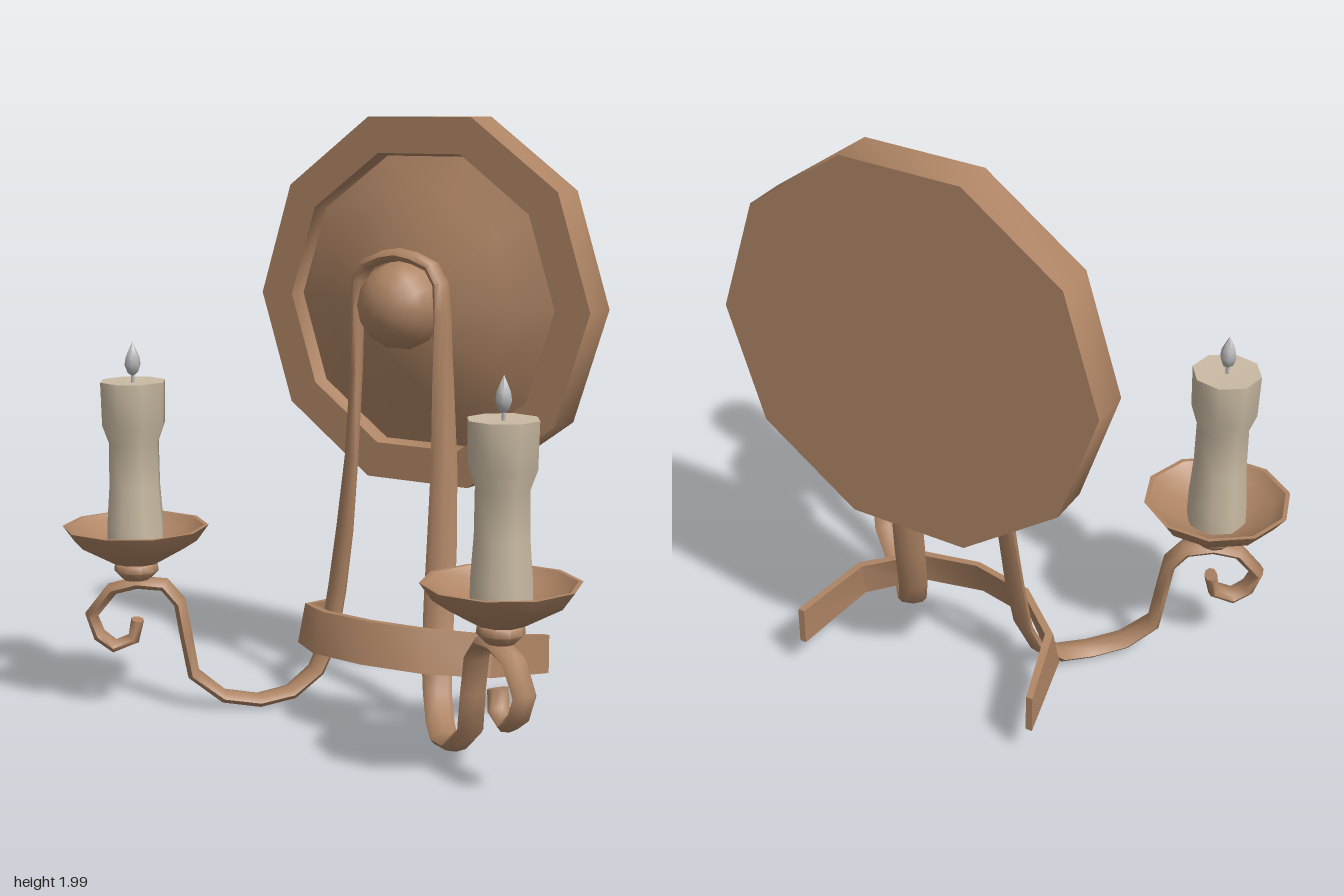
import * as THREE from 'three';
import { toCreasedNormals } from 'three/addons/utils/BufferGeometryUtils.js';

const copper = new THREE.MeshStandardMaterial({ color: 0xae8464 });
copper.name = 'copper';
const wax = new THREE.MeshStandardMaterial({ color: 0xc9baa3 });
wax.name = 'wax';
const glass = new THREE.MeshStandardMaterial({ color: 0xb8b8ba });
glass.name = 'greyFlame';

function part(name, geometry, material) {
  const mesh = new THREE.Mesh(geometry, material);
  mesh.name = name;
  return mesh;
}

// Turned part from [radius, height] pairs, listed from bottom to top on the outside
function turned(profile, sides, crease = 0.75, start = Math.PI / 2) {
  const points = profile.map(([r, y]) => new THREE.Vector2(r, y));
  return toCreasedNormals(new THREE.LatheGeometry(points, sides, start), crease);
}

// Skin over rings of points, each ring counter-clockwise about the direction of travel
function loft(rings, crease) {
  const n = rings[0].length;
  const last = (rings.length - 1) * n;
  const index = [];
  for (let i = 0; i < rings.length - 1; i++) {
    for (let j = 0; j < n; j++) {
      const a = i * n + j, b = i * n + (j + 1) % n;
      index.push(a, b, b + n, a, b + n, a + n);
    }
  }
  for (let j = 1; j < n - 1; j++) {
    index.push(0, j + 1, j, last, last + j, last + j + 1);
  }
  const geo = new THREE.BufferGeometry().setFromPoints(rings.flat());
  geo.setIndex(index);
  return toCreasedNormals(geo, crease);
}

// Half of the bent rod: x, y, z, plan angle of its flat section, half width
const ROD = [
  [0.0, 1.55, -0.263, 0, 0.037],
  [0.06, 1.54, -0.263, 0, 0.037],
  [0.125, 1.515, -0.263, 0, 0.037],
  [0.16, 1.46, -0.263, 0.05, 0.037],
  [0.168, 1.36, -0.264, 0.2, 0.038],
  [0.172, 1.15, -0.264, 0.5, 0.041],
  [0.185, 0.85, -0.253, 0.85, 0.045],
  [0.195, 0.6, -0.226, 1.05, 0.05],
  [0.205, 0.4, -0.195, 1.1, 0.052],
  [0.218, 0.22, -0.16, 1.1, 0.05],
  [0.245, 0.12, -0.122, 1.05, 0.048],
  [0.3, 0.05, -0.05, 0.95, 0.047],
  [0.37, 0.032, 0.04, 0.85, 0.046],
  [0.46, 0.052, 0.12, 0.75, 0.046],
  [0.545, 0.13, 0.175, 0.6, 0.045],
  [0.562, 0.26, 0.19, 0.55, 0.045],
  [0.58, 0.38, 0.2, 0.55, 0.045],
  [0.625, 0.44, 0.225, 0.55, 0.044],
  [0.7, 0.448, 0.275, 0.55, 0.042],
  [0.775, 0.425, 0.32, 0.55, 0.042],
  [0.835, 0.335, 0.36, 0.55, 0.04],
  [0.81, 0.265, 0.35, 0.55, 0.04],
  [0.765, 0.228, 0.325, 0.55, 0.04],
  [0.71, 0.255, 0.29, 0.55, 0.038],
  [0.7, 0.32, 0.28, 0.55, 0.036],
];

function bentRod() {
  const mirrored = ROD.slice(1).reverse().map(([x, y, z, t, w]) => [-x, y, z, -t, w]);
  const path = [...mirrored, ...ROD];
  const at = (i) => new THREE.Vector3(...path[Math.max(0, Math.min(path.length - 1, i))].slice(0, 3));
  const rings = path.map(([, , , theta, w], i) => {
    const along = at(i + 1).sub(at(i - 1)).normalize();
    const wide = new THREE.Vector3(-Math.sin(theta), 0, Math.cos(theta));
    const thin = wide.clone().cross(along).normalize();
    return Array.from({ length: 8 }, (_, j) => {
      const a = (j / 8) * Math.PI * 2;
      return at(i).addScaledVector(thin, 0.022 * Math.cos(a)).addScaledVector(wide, w * Math.sin(a));
    });
  });
  return loft(rings, 1.2);
}

// Tilted brace strap: lower edge x, z and upper edge x, z for one half
const STRAP = [
  [0, -0.03, 0, -0.075],
  [0.22, -0.07, 0.21, -0.112],
  [0.39, -0.22, 0.38, -0.25],
  [0.45, -0.515, 0.45, -0.515],
];

function braceStrap() {
  const mirrored = STRAP.slice(1).reverse().map(([a, b, c, d]) => [-a, b, -c, d]);
  const rings = [...mirrored, ...STRAP].map(([x0, z0, x1, z1]) => {
    const low = 0.205 + 0.155 * z0, high = 0.352 + 0.18 * z1;
    const inX = -Math.sign(x0) * (Math.abs(x0) > 0.3 ? 0.023 : 0.008);
    const inZ = z0 < -0.5 ? 0 : Math.abs(x0) > 0.3 ? -0.014 : -0.024;
    return [
      new THREE.Vector3(x1 + inX, high, z1 + inZ),
      new THREE.Vector3(x1, high, z1),
      new THREE.Vector3(x0, low, z0),
      new THREE.Vector3(x0 + inX, low, z0 + inZ),
    ];
  });
  return loft(rings, 0.6);
}

function candleHolder(name, x) {
  const group = new THREE.Group();
  group.name = name;
  group.position.set(x, 0, 0.275);
  group.add(
    part('neck', turned([[0, 0.455], [0.045, 0.46], [0.075, 0.49], [0.072, 0.512], [0.04, 0.53]], 10, 1), copper),
    part('dripPan', turned([
      [0, 0.52], [0.08, 0.52], [0.205, 0.59], [0.245, 0.645],
      [0.23, 0.645], [0.19, 0.605], [0.08, 0.555], [0, 0.55],
    ], 10), copper),
    part('candle', turned([
      [0, 0.55], [0.1, 0.55], [0.098, 0.65], [0.088, 0.78], [0.086, 0.93],
      [0.108, 0.99], [0.112, 1.135], [0, 1.13],
    ], 8, 0.9, 0.2), wax),
    part('wick', new THREE.CylinderGeometry(0.006, 0.006, 0.04, 6).translate(0, 1.145, 0), glass),
    part('flame', turned([
      [0, 1.15], [0.018, 1.163], [0.028, 1.19], [0.024, 1.215], [0.01, 1.245], [0, 1.265],
    ], 6, 1.4), glass),
  );
  return group;
}

export function createModel() {
  const model = new THREE.Group();
  model.name = 'wallCandleSconce';

  // Ten-sided wall plate with a sunken ring and raised centre
  const plate = turned([
    [0, -0.515], [0.65, -0.515], [0.65, -0.378], [0.522, -0.378], [0.512, -0.435],
    [0.37, -0.378], [0.2, -0.305], [0, -0.295],
  ], 10);
  plate.rotateX(Math.PI / 2).translate(0, 1.382, 0);
  model.add(part('wallPlate', plate, copper));

  // Round boss under the arch of the rod
  const boss = new THREE.SphereGeometry(0.15, 14, 10);
  boss.rotateX(Math.PI / 2).translate(0, 1.38, -0.28);
  model.add(part('boss', boss, copper));

  model.add(part('scrollRod', bentRod(), copper));
  model.add(part('braceStrap', braceStrap(), copper));
  model.add(candleHolder('leftCandleHolder', 0.705), candleHolder('rightCandleHolder', -0.705));
  return model;
}
